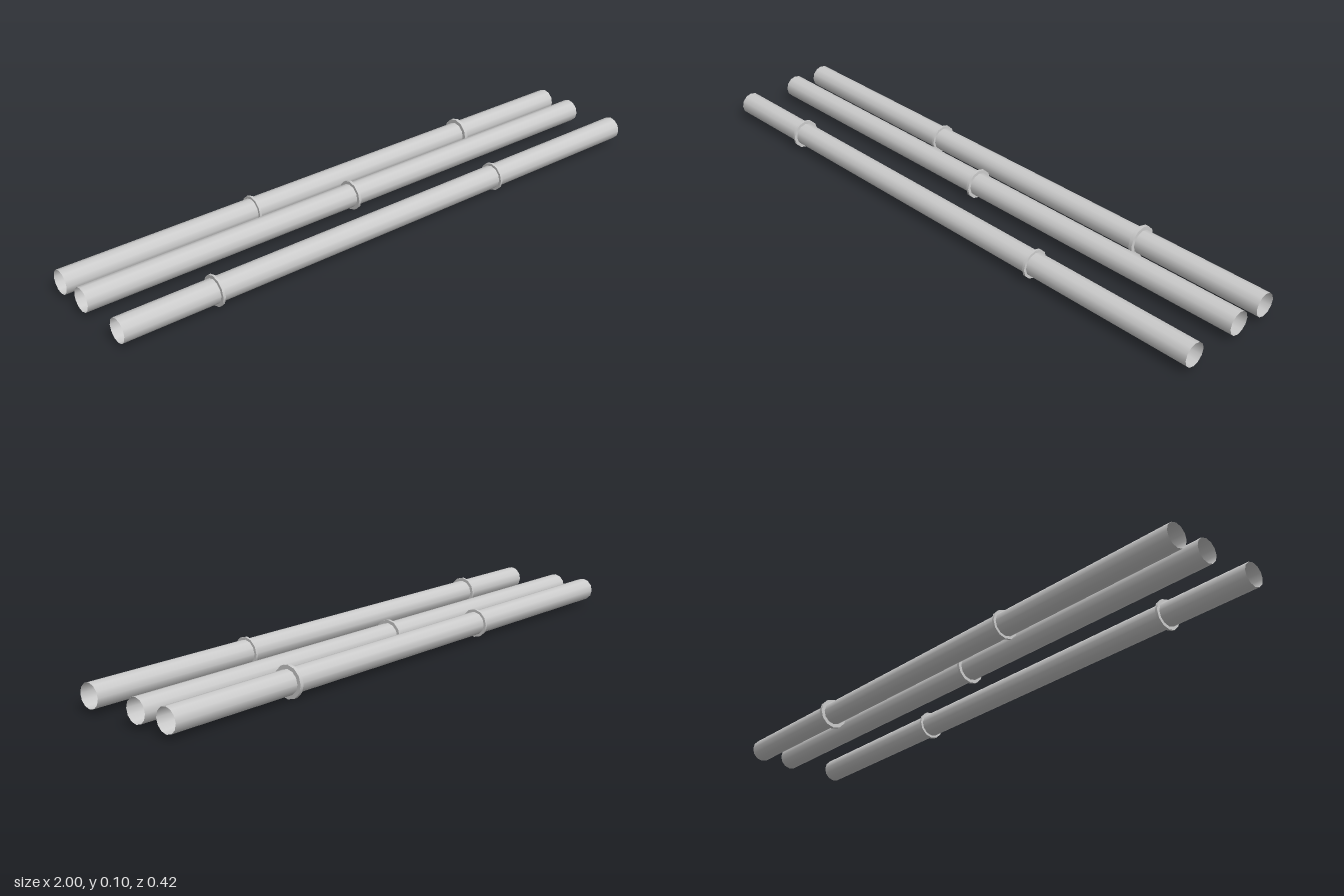
import * as THREE from 'three';
import { toCreasedNormals } from 'three/addons/utils/BufferGeometryUtils.js';

const SIDES = 12;
const PIPE_RADIUS = 0.0385;
const AXIS_HEIGHT = 0.051;

// Each pipe: its depth position and the collars along it
const PIPES = [
  { name: 'frontPipe', z: 0.16, collars: [{ x: -0.685, r: 0.049, w: 0.008 }, { x: 0.41, r: 0.047, w: 0.008 }] },
  { name: 'middlePipe', z: -0.037, collars: [{ x: -0.03, r: 0.049, w: 0.009 }] },
  { name: 'backPipe', z: -0.158, collars: [{ x: -0.33, r: 0.047, w: 0.008 }, { x: 0.55, r: 0.051, w: 0.012 }] },
];

// Flat ring with a rectangular section, fitted around the pipe
function collarGeometry(radius, width) {
  const h = width / 2;
  const inner = PIPE_RADIUS - 0.0005;
  const profile = [[inner, -h], [radius, -h], [radius, h], [inner, h]]
    .map(([r, y]) => new THREE.Vector2(r, y));
  return toCreasedNormals(new THREE.LatheGeometry(profile, SIDES), 0.6).rotateZ(Math.PI / 2);
}

export function createModel() {
  const model = new THREE.Group();
  model.name = 'pipeRun';
  const grey = new THREE.MeshStandardMaterial({ color: 0xcccccc, side: THREE.DoubleSide });

  // Thin open tube running along x
  const tube = new THREE.CylinderGeometry(PIPE_RADIUS, PIPE_RADIUS, 2, SIDES, 1, true).rotateZ(Math.PI / 2);

  for (const { name, z, collars } of PIPES) {
    const pipe = new THREE.Group();
    pipe.name = name;
    pipe.position.set(0, AXIS_HEIGHT, z);

    const wall = new THREE.Mesh(tube, grey);
    wall.name = 'tube';
    pipe.add(wall);

    for (const { x, r, w } of collars) {
      const collar = new THREE.Mesh(collarGeometry(r, w), grey);
      collar.name = 'collar';
      collar.position.x = x;
      pipe.add(collar);
    }
    model.add(pipe);
  }
  return model;
}
